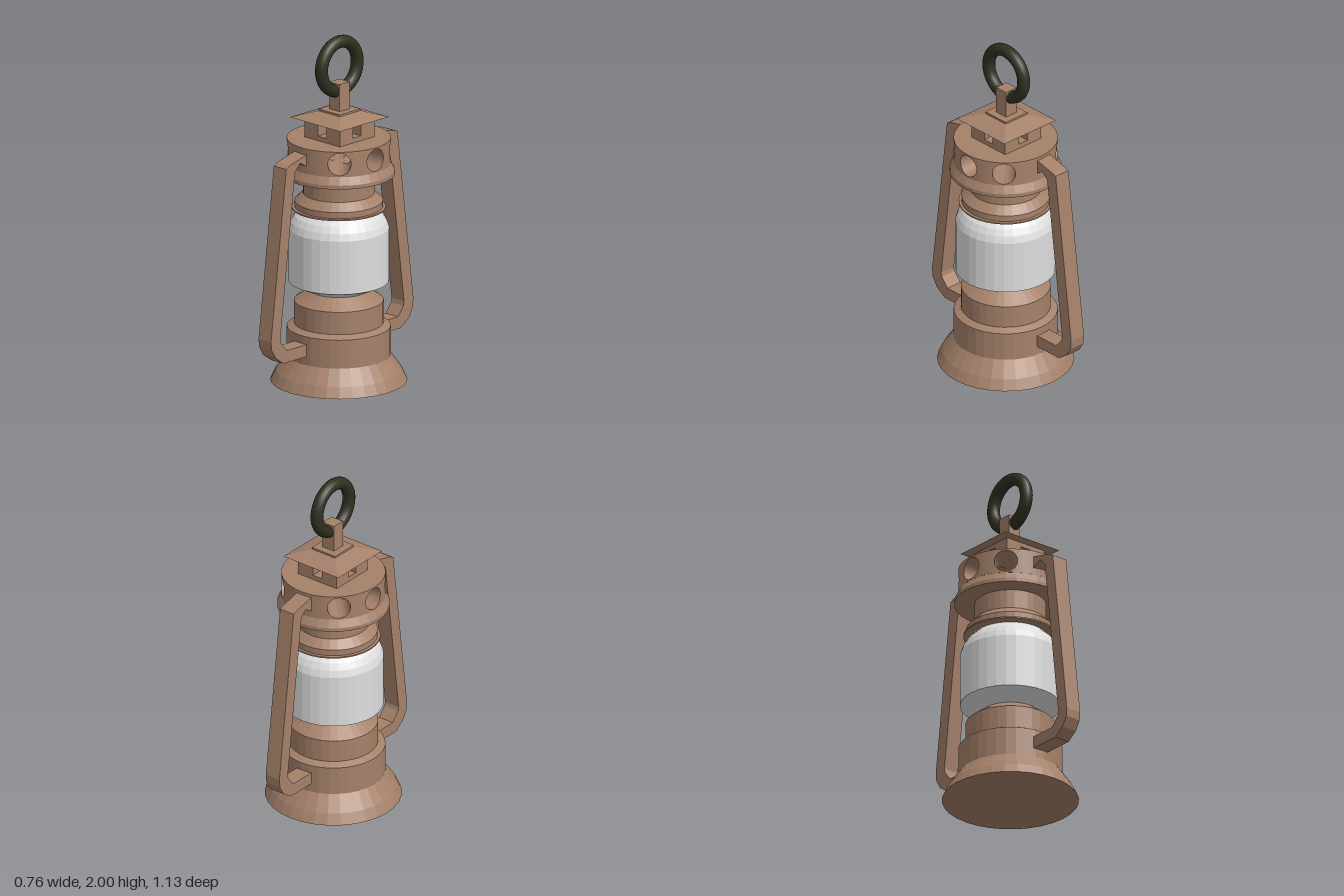
import * as THREE from 'three';
import { ParametricGeometry } from 'three/addons/geometries/ParametricGeometry.js';

const mat = (name, color, side = THREE.FrontSide) => {
  const m = new THREE.MeshStandardMaterial({ color, side });
  m.name = name;
  return m;
};

// Faceted copy of a geometry
function flat(geometry) {
  const g = geometry.index ? geometry.toNonIndexed() : geometry;
  g.computeVertexNormals();
  return g;
}

const SIDES = 32;
const lathe = (profile) =>
  flat(new THREE.LatheGeometry(profile.map(([r, y]) => new THREE.Vector2(r, y)), SIDES));

export function createModel() {
  const model = new THREE.Group();
  const metal = mat('copper metal', 0xa5816a, THREE.DoubleSide);
  const glassMat = mat('pale glass', 0xdedede, THREE.DoubleSide);
  const iron = mat('dark iron', 0x2f301f);

  const add = (name, geometry, material = metal, parent = model) => {
    const mesh = new THREE.Mesh(geometry, material);
    mesh.name = name;
    parent.add(mesh);
    return mesh;
  };

  // Stepped foot and fuel tank
  add('base', lathe([
    [0, 0], [0.382, 0], [0.353, 0.06], [0.29, 0.15], [0.29, 0.315],
    [0.25, 0.335], [0.25, 0.465], [0.167, 0.525], [0, 0.525],
  ]));

  // Globe
  add('glass', lathe([
    [0.167, 0.525], [0.281, 0.578], [0.281, 0.886], [0.268, 0.925], [0.247, 0.96], [0.205, 1.0],
  ]), glassMat);

  // Collar above the globe and flared rim under the drum
  add('collar', lathe([
    [0, 1.0], [0.262, 1.0], [0.262, 1.008], [0.247, 1.01], [0.247, 1.045], [0.2, 1.09],
    [0.2, 1.2], [0.313, 1.2], [0.313, 1.222], [0.29, 1.265],
  ]));

  // Drum pierced by round vents that meet in the middle
  const drum = new THREE.Group();
  drum.name = 'ventDrum';
  model.add(drum);
  const R = 0.29, yMid = 1.3375, H = 0.0725, ventR = 0.065;
  const W = R * Math.sin(Math.PI / 8);
  const corners = [[W, -H], [W, H], [-W, H], [-W, -H]];
  const onRim = (t) => { // point on the rectangular border of a vent panel
    const s = (t % 1) * 4, i = Math.floor(s), f = s - i;
    const a = corners[i], b = corners[(i + 1) % 4];
    return [a[0] + (b[0] - a[0]) * f, a[1] + (b[1] - a[1]) * f];
  };
  const onVent = (t) => { // matching point on the vent's circle
    const [x, y] = onRim(t), k = ventR / Math.hypot(x, y);
    return [x * k, y * k];
  };
  const surface = (x) => Math.sqrt(R * R - x * x);
  for (const deg of [45, 90, 135, 225, 270, 315]) {
    const panel = new ParametricGeometry((u, v, p) => {
      const a = onVent(u), b = onRim(u);
      const x = a[0] + (b[0] - a[0]) * v, y = a[1] + (b[1] - a[1]) * v;
      p.set(x, yMid + y, surface(x));
    }, 32, 3);
    const tunnel = new ParametricGeometry((u, v, p) => {
      const [x, y] = onVent(u);
      const neighbour = deg + (x > 0 ? 45 : -45);
      const gap = neighbour % 180 === 0 ? 90 : 45;
      const start = Math.abs(x) / Math.tan(gap * Math.PI / 360);
      p.set(x, yMid + y, start + (surface(x) - start) * v);
    }, 32, 1);
    const turn = deg * Math.PI / 180;
    add('ventPanel', flat(panel.rotateY(turn)), metal, drum);
    add('ventTunnel', flat(tunnel.rotateY(turn)), metal, drum);
  }
  for (const start of [-Math.PI / 8, Math.PI * 7 / 8]) {
    const wall = new THREE.CylinderGeometry(R, R, H * 2, 8, 1, true, start, Math.PI / 4);
    add('plainPanel', flat(wall), metal, drum).position.y = yMid;
  }
  add('drumTop', new THREE.CircleGeometry(R, 64).rotateX(-Math.PI / 2), metal, drum).position.y = yMid + H;

  // Square cupola with crossing windows: slabs and four corner posts
  const cupola = new THREE.Group();
  cupola.name = 'cupola';
  cupola.position.z = -0.005;
  model.add(cupola);
  const block = (name, w, y0, y1, x = 0, z = 0) =>
    add(name, new THREE.BoxGeometry(w, y1 - y0, w), metal, cupola).position.set(x, (y0 + y1) / 2, z);
  block('cupolaFloor', 0.274, 1.405, 1.437);
  block('cupolaCeiling', 0.274, 1.5, 1.526);
  for (const sx of [-1, 1]) for (const sz of [-1, 1])
    block('cupolaCorner', 0.104, 1.437, 1.5, sx * 0.085, sz * 0.085);

  // Hipped roof, cap plate and hanger post
  const roof = new THREE.CylinderGeometry(0.083 * Math.SQRT2, 0.195 * Math.SQRT2, 0.037, 4).rotateY(Math.PI / 4);
  add('roof', flat(roof), metal, cupola).position.y = 1.5435;
  block('roofPlate', 0.165, 1.56, 1.573);
  block('hangerPost', 0.08, 1.57, 1.73);

  // Carrying ring
  const ring = add('ring', new THREE.TorusGeometry(0.142, 0.036, 16, 48).rotateY(Math.PI / 2), iron);
  ring.position.set(0, 1.822, -0.004);

  // Side bars, outlined in z and y
  const bars = {
    frontBar: [
      [0.26, 1.381], [0.42, 1.342], [0.448, 1.326], [0.57, 0.345], [0.565, 0.297], [0.533, 0.244],
      [0.47, 0.2], [0.26, 0.2], [0.26, 0.27], [0.443, 0.27], [0.49, 0.324], [0.496, 0.345],
      [0.379, 1.294], [0.337, 1.337], [0.26, 1.293],
    ],
    backBar: [
      [-0.26, 1.398], [-0.411, 1.363], [-0.438, 1.353], [-0.565, 0.35], [-0.56, 0.297], [-0.528, 0.244],
      [-0.464, 0.2], [-0.26, 0.2], [-0.26, 0.27], [-0.443, 0.27], [-0.485, 0.324], [-0.49, 0.35],
      [-0.369, 1.3], [-0.33, 1.337], [-0.26, 1.29],
    ],
  };
  for (const [name, outline] of Object.entries(bars)) {
    const shape = new THREE.Shape(outline.map(([z, y]) => new THREE.Vector2(z, y)));
    const bar = new THREE.ExtrudeGeometry(shape, { depth: 0.097, bevelEnabled: false });
    add(name, bar.rotateY(-Math.PI / 2).translate(0.029, 0, 0));
  }

  return model;
}
